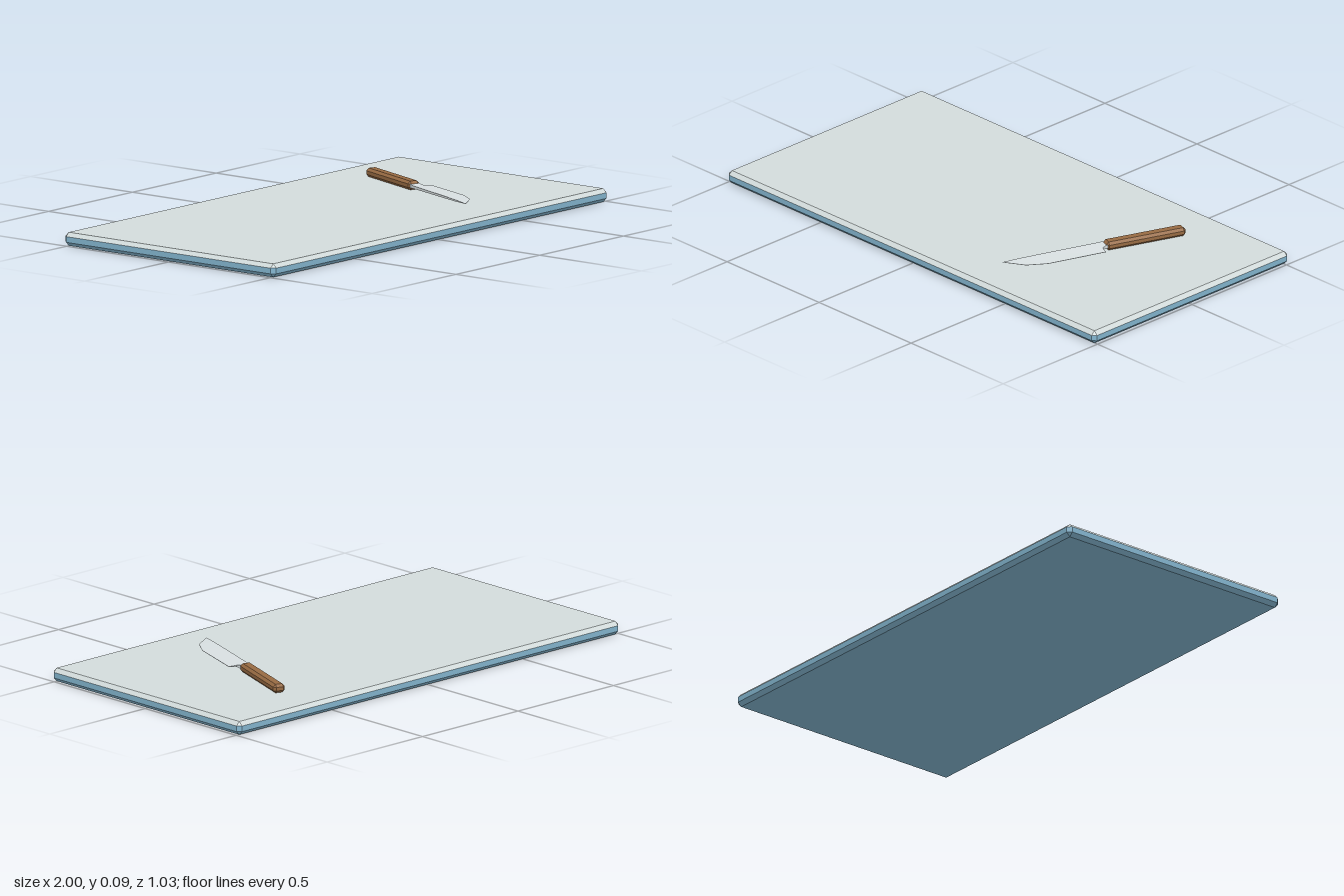
import * as THREE from 'three';

// Skin a stack of rings; each ring is { y, pts: [[x, z], ...] }, with optional flat caps
function loft(rings, capBottom = true, capTop = true) {
  const pos = [];
  const n = rings[0].pts.length;
  const at = (i, j) => {
    const [x, z] = rings[i].pts[j % n];
    return [x, rings[i].y, z];
  };
  const tri = (a, b, c) => pos.push(...a, ...b, ...c);
  for (let i = 0; i < rings.length - 1; i++) {
    for (let j = 0; j < n; j++) {
      tri(at(i, j), at(i, j + 1), at(i + 1, j + 1));
      tri(at(i, j), at(i + 1, j + 1), at(i + 1, j));
    }
  }
  const last = rings.length - 1;
  for (let j = 1; j < n - 1; j++) {
    if (capBottom) tri(at(0, 0), at(0, j + 1), at(0, j));
    if (capTop) tri(at(last, 0), at(last, j), at(last, j + 1));
  }
  const geometry = new THREE.BufferGeometry();
  geometry.setAttribute('position', new THREE.Float32BufferAttribute(pos, 3));
  geometry.computeVertexNormals();
  return geometry;
}

// Rectangle outline with cut corners
function cutRect(x, z, b) {
  return [
    [x, z - b], [x, b - z], [x - b, -z], [b - x, -z],
    [-x, b - z], [-x, z - b], [b - x, z], [x - b, z],
  ];
}

// Four rings of a box with every edge chamfered by b
function chamferRings(x, z, y0, y1, b) {
  const cap = cutRect(x - b, z - b, 0);
  const side = cutRect(x, z, b);
  return [
    { y: y0, pts: cap }, { y: y0 + b, pts: side },
    { y: y1 - b, pts: side }, { y: y1, pts: cap },
  ];
}

export function createModel() {
  const model = new THREE.Group();
  const material = (name, color) => {
    const m = new THREE.MeshStandardMaterial({ color, flatShading: true });
    m.name = name;
    return m;
  };
  const paleGrey = material('paleGrey', 0xd3dcdc);
  const blue = material('blue', 0x84b6d0);
  const steel = material('steel', 0xd8dfe1);
  const wood = material('wood', 0x986b43);

  const add = (parent, name, geometry, mat) => {
    const mesh = new THREE.Mesh(geometry, mat);
    mesh.name = name;
    parent.add(mesh);
  };

  // Board: blue base and sides, pale top with its chamfer
  const board = new THREE.Group();
  board.name = 'board';
  const rings = chamferRings(1, 0.517, 0, 0.052, 0.015);
  add(board, 'boardBase', loft(rings.slice(0, 3), true, false), blue);
  add(board, 'boardTop', loft(rings.slice(2), false, true), paleGrey);
  model.add(board);

  // Knife: local y runs to the tip, local x to the cutting edge, z is thickness
  const knife = new THREE.Group();
  knife.name = 'knife';
  add(knife, 'knifeHandle', loft(chamferRings(0.024, 0.017, -0.33, 0, 0.01)), wood);

  // Blade sections: distance, spine x, edge x, half thickness at spine and edge
  const sections = [
    [-0.01, -0.018, 0.018, 0.007, 0.007],
    [0.006, -0.02, 0.019, 0.007, 0.007],
    [0.02, -0.022, 0.027, 0.0055, 0.003],
    [0.021, -0.022, 0.058, 0.0055, 0.0008],
    [0.263, -0.022, 0.062, 0.004, 0.0005],
    [0.345, -0.022, 0.04, 0.003, 0.0005],
    [0.416, -0.022, -0.021, 0.0005, 0.0005],
  ];
  const bladeRings = sections.map(([y, spine, edge, ts, te]) => ({
    y,
    pts: [[edge, te], [edge, -te], [spine, -ts], [spine, ts]],
  }));
  add(knife, 'knifeBlade', loft(bladeRings), steel);

  // Lay the knife flat, turned 20 degrees
  const a = THREE.MathUtils.degToRad(20);
  const c = Math.cos(a), s = Math.sin(a);
  knife.quaternion.setFromRotationMatrix(new THREE.Matrix4().makeBasis(
    new THREE.Vector3(c, 0, s),
    new THREE.Vector3(-s, 0, c),
    new THREE.Vector3(0, -1, 0),
  ));
  knife.position.set(0.5, 0.0705, -0.025);
  model.add(knife);

  return model;
}
